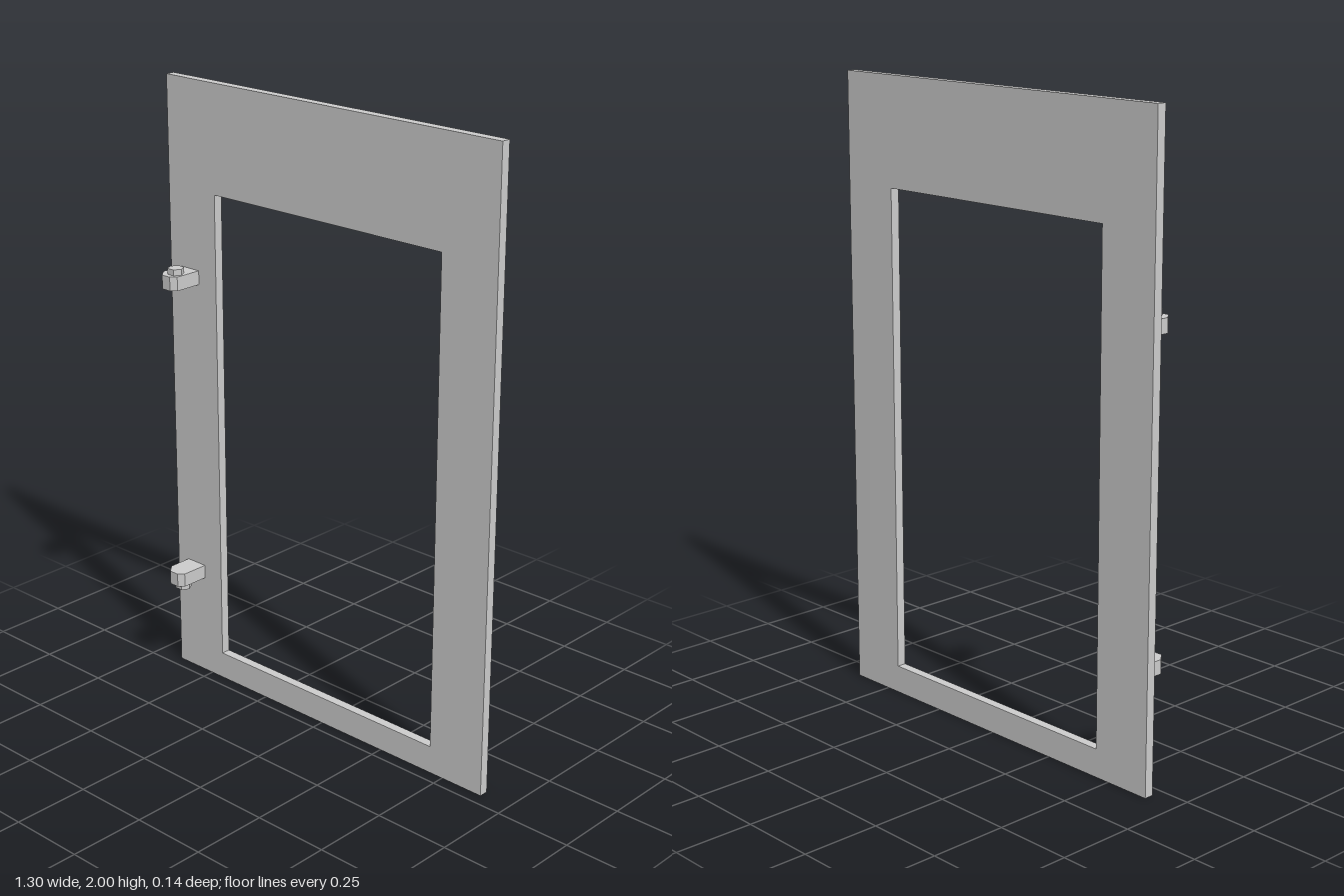
import * as THREE from 'three';

const material = new THREE.MeshStandardMaterial({ color: 0xcccccc, flatShading: true });

function polygon(points) {
  return points.map(([x, y]) => new THREE.Vector2(x, y));
}

function addMesh(parent, name, geometry) {
  const mesh = new THREE.Mesh(geometry, material);
  mesh.name = name;
  parent.add(mesh);
  return mesh;
}

// Hinge lug with chamfered nose and a hex bolt head; side = 1 puts the head on top, -1 below
function createHinge(name, bottom, side) {
  const height = 0.045;
  const hinge = new THREE.Group();
  hinge.name = name;

  // Plan outline as (x, -z)
  const outline = new THREE.Shape(polygon([
    [-0.603, 0.04], [-0.603, -0.038], [-0.577, -0.068],
    [-0.543, -0.068], [-0.526, -0.052], [-0.526, 0.04],
  ]));
  const lug = new THREE.ExtrudeGeometry(outline, { depth: height, bevelEnabled: false });
  lug.rotateX(-Math.PI / 2);
  addMesh(hinge, 'hingeLug', lug);

  const headHeight = 0.019;
  const head = new THREE.CylinderGeometry(0.026, 0.026, headHeight, 6);
  head.rotateY(Math.PI / 2);
  const bolt = addMesh(hinge, 'boltHead', head);
  bolt.position.set(-0.557, height / 2 + side * (height + headHeight) / 2, 0.028);

  hinge.position.y = bottom;
  return hinge;
}

export function createModel() {
  const model = new THREE.Group();
  model.name = 'framedDoor';

  // Flat door panel with a rectangular window opening
  const panel = new THREE.Shape(polygon([[-0.65, 0], [0.65, 0], [0.65, 2], [-0.65, 2]]));
  panel.holes.push(new THREE.Path(polygon([
    [-0.45, 0.09], [-0.45, 1.655], [0.45, 1.655], [0.45, 0.09],
  ])));
  const geometry = new THREE.ExtrudeGeometry(panel, { depth: 0.03, bevelEnabled: false });
  geometry.translate(0, 0, -0.07);
  addMesh(model, 'doorPanel', geometry);

  model.add(createHinge('upperHinge', 1.354, 1));
  model.add(createHinge('lowerHinge', 0.342, -1));
  return model;
}
